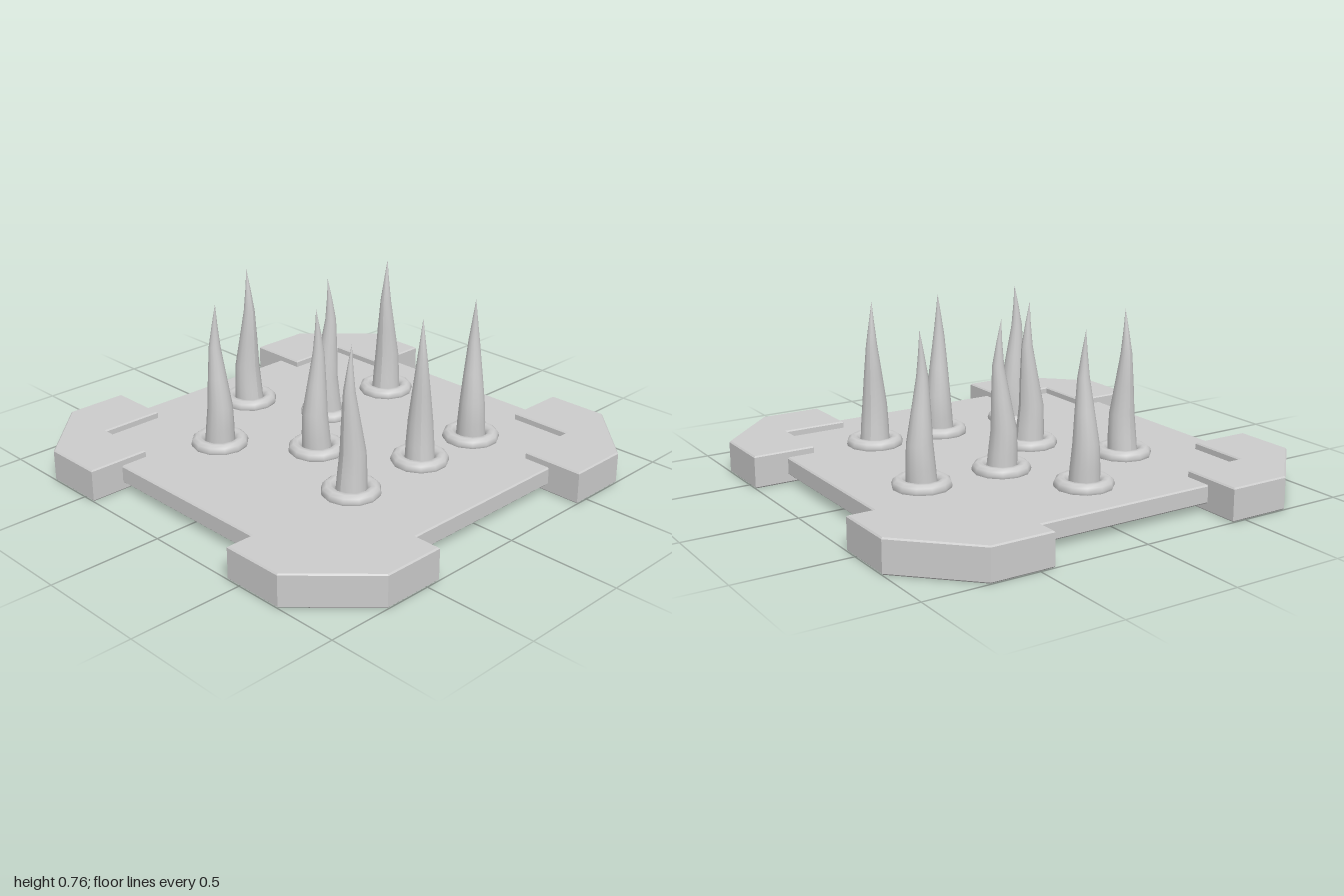
import * as THREE from 'three';

const material = new THREE.MeshStandardMaterial({ color: 0xcccccc });

// Flat slab with a plan outline in x/z and a small bevel, between two heights
function slab(outline, y0, y1, bevel = 0.006) {
  const shape = new THREE.Shape(outline.map(([x, z]) => new THREE.Vector2(x, -z)));
  const geo = new THREE.ExtrudeGeometry(shape, {
    depth: y1 - y0 - 2 * bevel, bevelThickness: bevel, bevelSize: bevel,
    bevelOffset: -bevel, bevelSegments: 1,
  });
  geo.rotateX(-Math.PI / 2);
  geo.translate(0, y0 + bevel, 0);
  return geo;
}

// Slightly crooked spike: a lathe whose rings are shifted sideways by height
function spikeGeometry() {
  const rings = [ // radius, height, sideways shift
    [0.066, 0.11, 0], [0.062, 0.2, -0.006], [0.055, 0.3, -0.01],
    [0.041, 0.43, 0.002], [0.025, 0.57, 0.013], [0.012, 0.67, 0.008], [0, 0.765, 0],
  ];
  const geo = new THREE.LatheGeometry(rings.map(([r, y]) => new THREE.Vector2(r, y)), 14);
  const pos = geo.attributes.position;
  for (let i = 0; i < pos.count; i++) {
    pos.setZ(i, pos.getZ(i) + rings[i % rings.length][2]);
  }
  geo.computeVertexNormals();
  return geo;
}

export function createModel() {
  const model = new THREE.Group();
  model.name = 'spikeTrap';
  const add = (parent, geo, name) => {
    const mesh = new THREE.Mesh(geo, material);
    mesh.name = name;
    parent.add(mesh);
    return mesh;
  };

  // Base plate
  const p = 0.845;
  add(model, slab([[-p, p], [p, p], [p, -p], [-p, -p]], 0.035, 0.115), 'basePlate');

  // Chamfered corner brackets, one per quarter turn
  const bracket = slab([
    [0.435, 1], [0.715, 1], [1, 0.715], [1, 0.435],
    [0.72, 0.435], [0.72, 0.72], [0.435, 0.72],
  ], 0, 0.145);
  for (let i = 0; i < 4; i++) {
    add(model, bracket, 'cornerBracket').rotation.y = i * Math.PI / 2;
  }

  // Spikes with collars: x, z, turn in degrees
  const spike = spikeGeometry();
  const collar = new THREE.TorusGeometry(0.096, 0.031, 10, 12);
  collar.rotateX(Math.PI / 2);
  collar.translate(0, 0.125, 0);
  const places = [
    [-0.22, -0.55, 20], [0.415, -0.43, -135], [-0.22, -0.165, 150], [0.415, -0.095, 45],
    [-0.575, 0.005, 90], [0.03, 0.145, 180], [-0.315, 0.405, -90], [0.415, 0.32, 0],
  ];
  for (const [x, z, turn] of places) {
    const unit = new THREE.Group();
    unit.name = 'spikeUnit';
    unit.position.set(x, 0, z);
    unit.rotation.y = THREE.MathUtils.degToRad(turn);
    add(unit, spike, 'spike');
    add(unit, collar, 'collar');
    model.add(unit);
  }
  return model;
}
